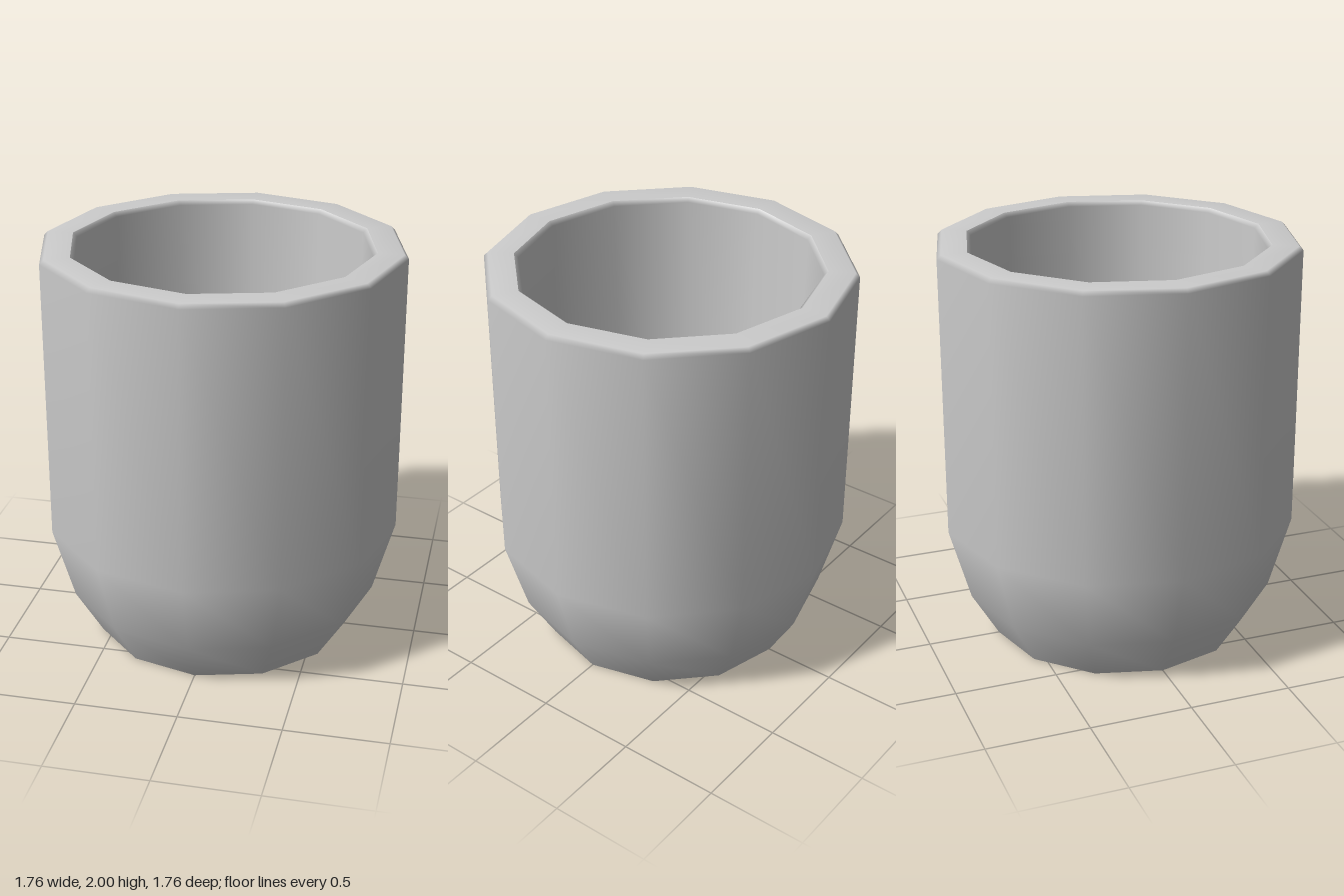
import * as THREE from 'three';

const SIDES = 12;
const material = new THREE.MeshStandardMaterial({ color: 0xcccccc });

// Surface of revolution from [radius, height] pairs
function turned(name, profile) {
  const points = profile.map(([r, y]) => new THREE.Vector2(r, y));
  const mesh = new THREE.Mesh(new THREE.LatheGeometry(points, SIDES), material);
  mesh.name = name;
  return mesh;
}

// Flat twelve-sided disc facing up or down, with corners matching the walls
function disc(name, radius, y, facing) {
  const geometry = new THREE.CircleGeometry(radius, SIDES);
  geometry.rotateX(-facing * Math.PI / 2);
  const mesh = new THREE.Mesh(geometry, material);
  mesh.name = name;
  mesh.position.y = y;
  return mesh;
}

export function createModel() {
  const cup = new THREE.Group();
  cup.name = 'cup';

  const floorY = 0.25;
  cup.add(
    // Tapered foot, straight wall and softly bevelled rim
    turned('outerWall', [[0.64, 0], [0.775, 0.23], [0.88, 0.6], [0.88, 1.98], [0.86, 2], [0.735, 2]]),
    // Small inner bevel, then a gently narrowing inside
    turned('innerWall', [[0.735, 2], [0.715, 1.98], [0.68, floorY]]),
    disc('innerFloor', 0.68, floorY, 1),
    disc('base', 0.64, 0, -1),
  );
  return cup;
}
